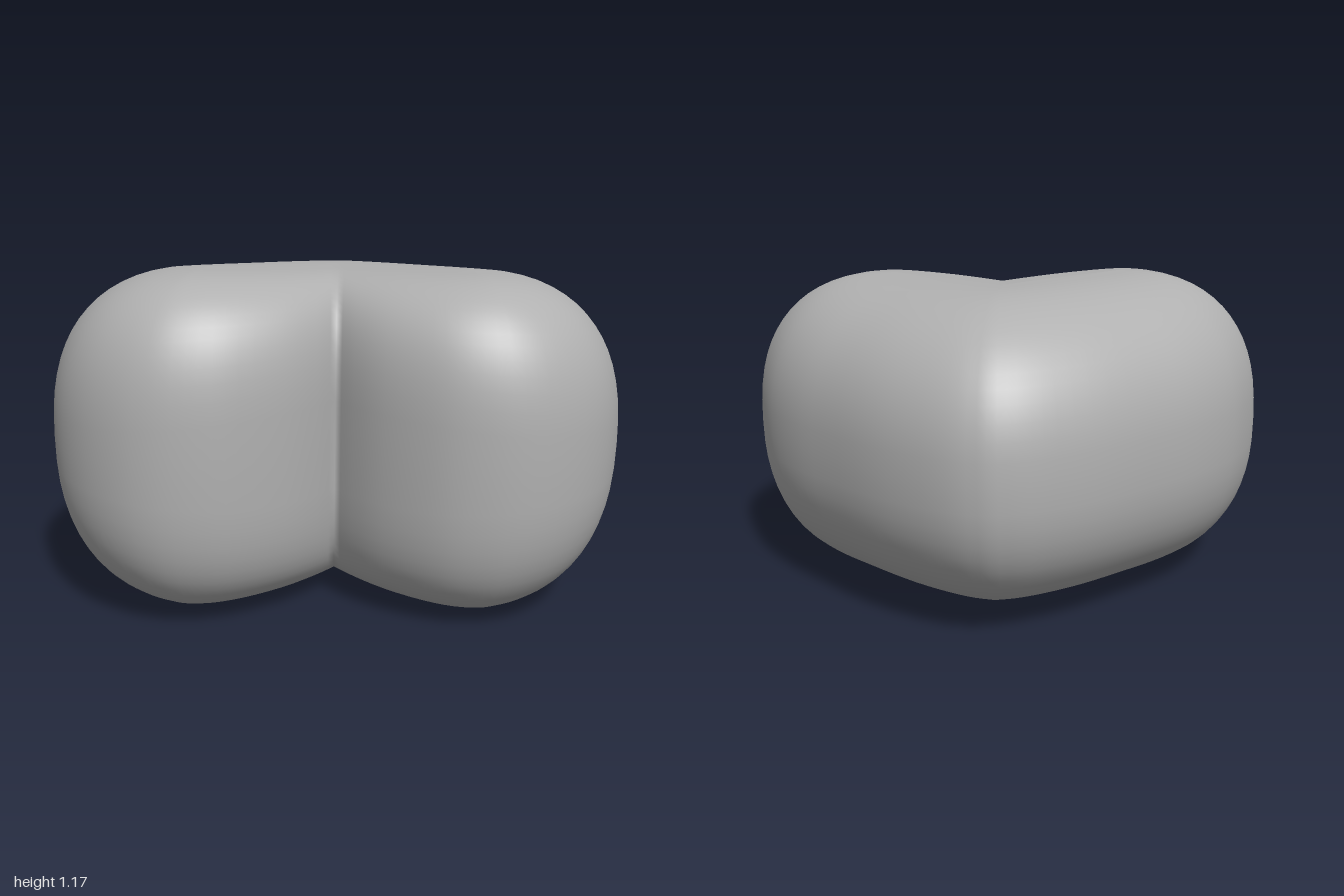
import * as THREE from 'three';

// Half outline from front notch to rear tip: x, z, and how far along the lobe's inner spine it is anchored
const OUTLINE = [
  [0, 0.46, 0], [0.06, 0.54, 0.2], [0.16, 0.64, 0.5], [0.3, 0.73, 0.75], [0.42, 0.772, 0.92],
  [0.55, 0.78, 1], [0.67, 0.75, 1], [0.8, 0.67, 1], [0.9, 0.56, 1], [0.965, 0.43, 1],
  [0.998, 0.29, 1], [0.99, 0.18, 1], [0.94, 0.04, 0.98], [0.87, -0.1, 0.88], [0.75, -0.26, 0.7],
  [0.6, -0.41, 0.5], [0.4, -0.59, 0.3], [0.22, -0.71, 0.14], [0.1, -0.765, 0.06], [0, -0.785, 0],
];
const STEPS = 57, ROWS = 32, MID = 0.592;

function heartGeometry() {
  const curve = new THREE.CatmullRomCurve3(OUTLINE.map(([x, z, s]) => new THREE.Vector3(x, s, z)));
  const half = [];
  for (let i = 0; i <= STEPS; i++) {
    const u = i / STEPS, p = curve.getPoint(u);
    const s = THREE.MathUtils.clamp(p.y, 0, 1);
    half.push({
      x: p.x, z: p.z, s,
      // the front is boxier than the sides and the tip
      n: THREE.MathUtils.lerp(3.6, 2.45, THREE.MathUtils.smoothstep(u, 0, 0.55)),
    });
  }
  half[0].x = half[STEPS].x = 0;
  // Mirror into one closed loop
  const loop = half.map((p) => ({ ...p, side: 1 }));
  for (let i = STEPS - 1; i > 0; i--) loop.push({ ...half[i], x: -half[i].x, side: -1 });

  const pos = [], index = [], count = loop.length;
  for (let j = 0; j <= ROWS; j++) {
    const a = (j / ROWS - 0.5) * Math.PI;
    for (const p of loop) {
      // Superellipse section running from the spine out to the outline
      const r = Math.pow(Math.max(Math.cos(a), 0), 2 / p.n);
      const v = Math.sign(a) * Math.pow(Math.abs(Math.sin(a)), 2 / p.n);
      const sx = p.side * 0.45 * p.s, sz = -0.08 + 0.35 * p.s;
      const h = 0.562 + 0.02 * p.s;
      pos.push(sx + (p.x - sx) * r, MID + h * v, sz + (p.z - sz) * r);
    }
  }
  for (let j = 0; j < ROWS; j++) {
    for (let i = 0; i < count; i++) {
      const k = (i + 1) % count;
      const a = j * count + i, b = j * count + k, c = b + count, d = a + count;
      index.push(a, b, d, b, c, d);
    }
  }
  const geo = new THREE.BufferGeometry();
  geo.setAttribute('position', new THREE.Float32BufferAttribute(pos, 3));
  geo.setIndex(index);
  geo.computeVertexNormals();
  return geo;
}

export function createModel() {
  const grey = new THREE.MeshStandardMaterial({ color: 0xb0b0b0 });
  grey.name = 'grey';
  const heart = new THREE.Mesh(heartGeometry(), grey);
  heart.name = 'puffyHeart';
  // Slight lean to one side
  heart.rotation.z = -0.012;
  heart.position.x = -0.007;
  const group = new THREE.Group();
  group.name = 'heart';
  group.add(heart);
  return group;
}
